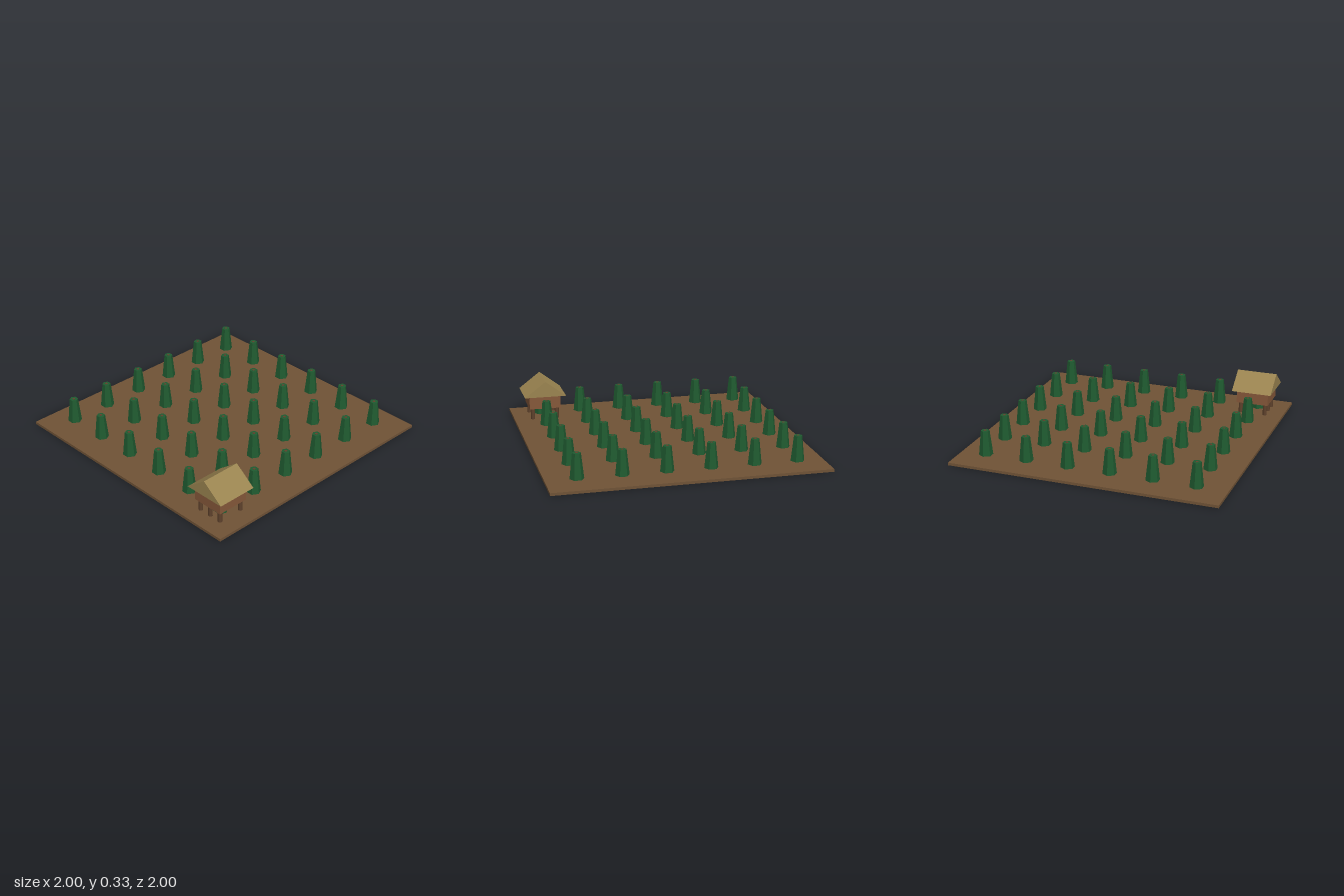
import * as THREE from 'three';

const paint = (name, color) => {
  const m = new THREE.MeshStandardMaterial({ color });
  m.name = name;
  return m;
};

export function createModel() {
  const soil = paint('soil', 0x6f5236);
  const leaf = paint('leaf green', 0x1f5a30);
  const bark = paint('bark', 0x5f422c);
  const timber = paint('timber', 0x85583a);
  const thatch = paint('thatch', 0x9a8450);

  const model = new THREE.Group();
  model.name = 'plantation';
  const add = (parent, name, geometry, material, x, y, z) => {
    const mesh = new THREE.Mesh(geometry, material);
    mesh.name = name;
    mesh.position.set(x, y, z);
    parent.add(mesh);
    return mesh;
  };
  // Faceted prism or taper, standing on its base
  const taper = (top, bottom, height, sides) =>
    new THREE.CylinderGeometry(top, bottom, height, sides)
      .rotateY(Math.PI / 6).translate(0, height / 2, 0).toNonIndexed();
  const faceted = (g) => { g.computeVertexNormals(); return g; };

  // Ground slab
  add(model, 'ground', new THREE.BoxGeometry(2, 0.02, 2), soil, 0, 0.01, 0);

  // Six by six grid of bushes, each with a trunk just showing at the top
  const crownShape = faceted(taper(0.031, 0.051, 0.185, 6));
  const trunkShape = faceted(taper(0.011, 0.011, 0.201, 6));
  for (let row = 0; row < 6; row++) {
    for (let col = 0; col < 6; col++) {
      const bush = new THREE.Group();
      bush.name = 'bush';
      bush.position.set(-0.798 + col * 0.316, 0.02, -0.798 + row * 0.316);
      add(bush, 'trunk', trunkShape, bark, 0, 0, 0);
      add(bush, 'crown', crownShape, leaf, 0, 0.014, 0);
      model.add(bush);
    }
  }

  // Raised hut in the front left corner
  const hut = new THREE.Group();
  hut.name = 'hut';
  hut.position.set(0.764, 0, 0.768);
  model.add(hut);
  const stiltShape = new THREE.CylinderGeometry(0.016, 0.016, 0.09, 8);
  for (const x of [-0.094, 0, 0.094]) {
    for (const z of [-0.096, 0.096]) add(hut, 'stilt', stiltShape, bark, x, 0.063, z);
  }
  add(hut, 'cabin', new THREE.BoxGeometry(0.243, 0.102, 0.246), timber, 0, 0.156, 0);

  // Gabled thatch roof with its ridge along z
  const gable = new THREE.Shape([
    new THREE.Vector2(-0.161, 0), new THREE.Vector2(0.161, 0), new THREE.Vector2(0, 0.122),
  ]);
  const roof = new THREE.ExtrudeGeometry(gable, { depth: 0.306, bevelEnabled: false });
  add(hut, 'roof', roof, thatch, 0, 0.206, -0.153);

  return model;
}
